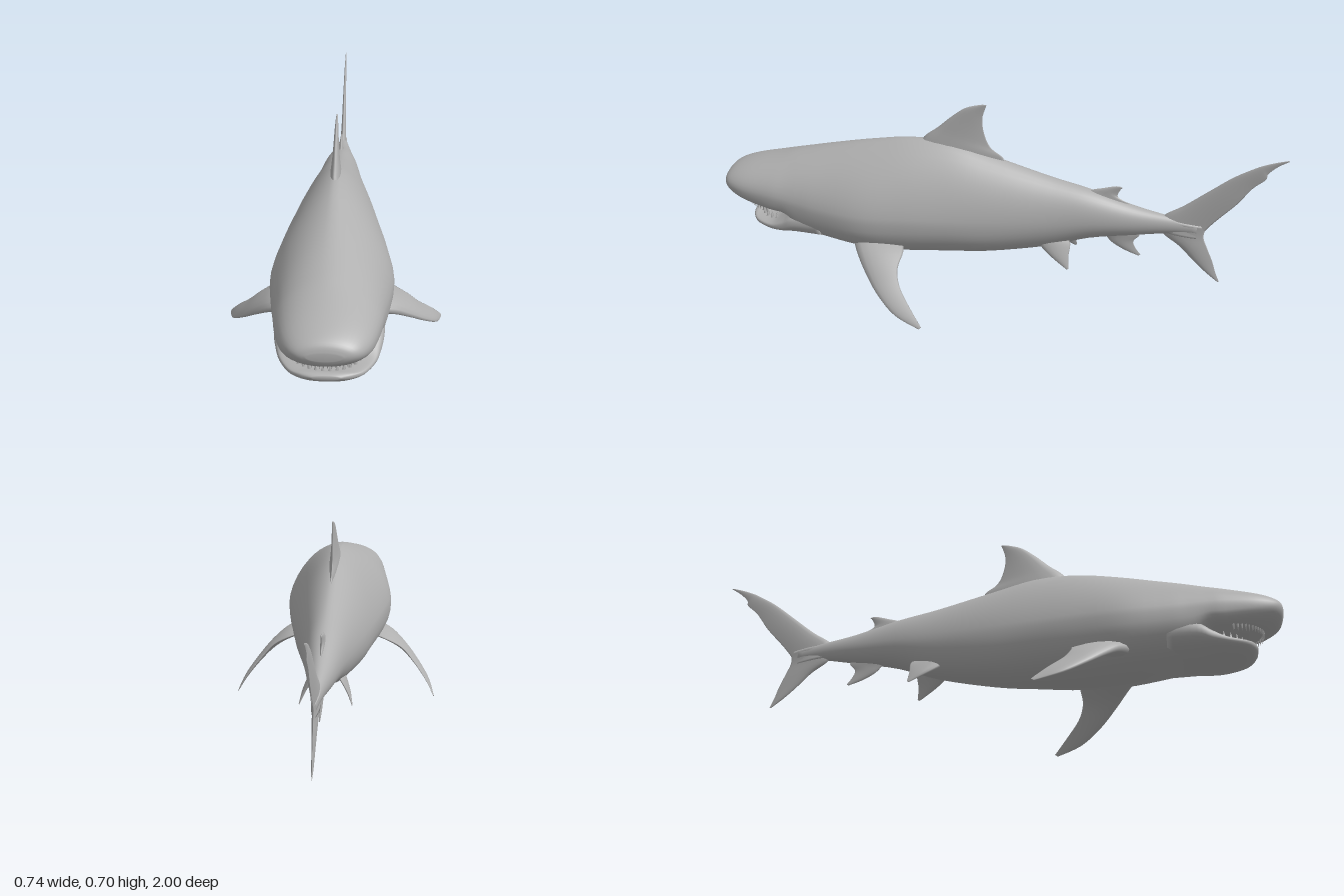
import * as THREE from 'three';

const skin = new THREE.MeshStandardMaterial({ color: 0xb0b0b0 });
skin.name = 'grey skin';

// Closed skin over a list of equal-length rings, oriented outward by its signed volume
function loft(rings) {
  const n = rings[0].length, pts = rings.flat(), idx = [];
  for (let i = 0; i < rings.length - 1; i++) {
    for (let j = 0; j < n; j++) {
      const a = i * n + j, b = i * n + (j + 1) % n;
      idx.push(a, b, a + n, b, b + n, a + n);
    }
  }
  [0, rings.length - 1].forEach((r, end) => {
    const centre = new THREE.Vector3();
    rings[r].forEach(p => centre.addScaledVector(p, 1 / n));
    const c = pts.push(centre) - 1;
    for (let j = 0; j < n; j++) {
      const a = r * n + j, b = r * n + (j + 1) % n;
      if (end) idx.push(a, b, c); else idx.push(b, a, c);
    }
  });
  let volume = 0;
  const cross = new THREE.Vector3();
  for (let i = 0; i < idx.length; i += 3) {
    volume += pts[idx[i]].dot(cross.crossVectors(pts[idx[i + 1]], pts[idx[i + 2]]));
  }
  if (volume < 0) idx.reverse();
  const geo = new THREE.BufferGeometry().setFromPoints(pts);
  geo.setIndex(idx);
  geo.computeVertexNormals();
  return geo;
}

// Catmull-Rom blend of the rows of a table, four steps per row
function sampleRows(rows) {
  const out = [], last = rows.length - 1;
  for (let i = 0; i < last; i++) {
    const [a, b, c, d] = [Math.max(i - 1, 0), i, i + 1, Math.min(i + 2, last)].map(k => rows[k]);
    for (let t = 0; t < 1; t += 0.25) {
      out.push(b.map((v, k) => {
        const linear = c[k] - a[k];
        const square = 2 * a[k] - 5 * v + 4 * c[k] - d[k];
        const cube = 3 * (v - c[k]) + d[k] - a[k];
        return v + 0.5 * t * (linear + t * (square + t * cube));
      }));
    }
  }
  out.push(rows[last]);
  return out;
}

// Body rows: z, top, bottom, half width, widest y, upper and lower roundness
function hull(rows) {
  const sides = 40;
  return loft(sampleRows(rows).map(([z, top, bottom, w, mid, eTop, eBot]) => {
    const ring = [];
    for (let j = 0; j < sides; j++) {
      const a = j / sides * Math.PI * 2, c = Math.cos(a), s = Math.sin(a);
      const e = s >= 0 ? eTop : eBot, h = s >= 0 ? top - mid : bottom - mid;
      ring.push(new THREE.Vector3(
        w * Math.sign(c) * Math.pow(Math.abs(c), e), mid + h * Math.pow(Math.abs(s), e), z));
    }
    return ring;
  }));
}

// Fin rows: leading x,y,z, trailing x,y,z, thickness; "across" is the thickness direction
function fin(rows, across, side = 1) {
  const half = 8, dir = new THREE.Vector3(...across).normalize();
  return loft(sampleRows(rows).map(r => {
    const lead = new THREE.Vector3(r[0], r[1], r[2]);
    const trail = new THREE.Vector3(r[3], r[4], r[5]);
    const ring = [];
    for (let j = 0; j < half * 2; j++) {
      const u = (1 - Math.cos(j / half * Math.PI)) / 2;
      const t = r[6] * 1.3 * Math.sqrt(u) * (1 - u) * (j < half ? 1 : -1);
      const p = lead.clone().lerp(trail, u).addScaledVector(dir, t);
      p.x *= side;
      ring.push(p);
    }
    return ring;
  }));
}

// Upright fin on the centre line, rows: leading y,z, trailing y,z, thickness
const uprightFin = rows => fin(rows.map(([ly, lz, ty, tz, t]) => [0, ly, lz, 0, ty, tz, t]), [1, 0, 0]);

export function createModel() {
  const group = new THREE.Group();
  const add = (name, geometry, parent = group) => {
    const mesh = new THREE.Mesh(geometry, skin);
    mesh.name = name;
    parent.add(mesh);
    return mesh;
  };

  // Head and trunk, snout to tail root
  add('body', hull([
    [1.0, 0.35, 0.325, 0.05, 0.338, 1, 1],
    [0.99, 0.373, 0.305, 0.085, 0.34, 1, 1],
    [0.96, 0.392, 0.287, 0.115, 0.335, 1, 0.9],
    [0.90, 0.412, 0.270, 0.14, 0.33, 1, 0.75],
    [0.80, 0.438, 0.257, 0.16, 0.325, 1.05, 0.6],
    [0.74, 0.455, 0.245, 0.168, 0.32, 1.1, 0.65],
    [0.68, 0.47, 0.18, 0.176, 0.31, 1.1, 0.75],
    [0.60, 0.49, 0.16, 0.187, 0.30, 1.15, 0.8],
    [0.45, 0.525, 0.14, 0.2, 0.29, 1.25, 0.8],
    [0.30, 0.55, 0.132, 0.183, 0.29, 1.3, 0.85],
    [0.15, 0.545, 0.138, 0.158, 0.29, 1.3, 0.9],
    [0, 0.505, 0.15, 0.131, 0.29, 1.2, 0.9],
    [-0.2, 0.45, 0.185, 0.092, 0.30, 1.1, 1],
    [-0.35, 0.415, 0.235, 0.067, 0.315, 1, 1],
    [-0.5, 0.372, 0.262, 0.042, 0.316, 1, 1],
    [-0.62, 0.348, 0.282, 0.022, 0.316, 1, 1],
    [-0.72, 0.33, 0.29, 0.008, 0.31, 1, 1],
  ]));

  // Lower jaw, set back under the snout
  add('lowerJaw', hull([
    [0.60, 0.30, 0.168, 0.172, 0.24, 0.7, 0.85],
    [0.70, 0.285, 0.17, 0.169, 0.235, 0.7, 0.9],
    [0.75, 0.25, 0.173, 0.160, 0.215, 0.6, 0.9],
    [0.80, 0.222, 0.176, 0.146, 0.205, 0.6, 0.9],
    [0.86, 0.217, 0.181, 0.115, 0.204, 0.6, 0.9],
    [0.89, 0.220, 0.188, 0.08, 0.207, 0.7, 0.9],
    [0.905, 0.215, 0.202, 0.04, 0.209, 1, 1],
  ]));

  // Teeth in two arcs
  const teeth = (name, count, width, depth, z0, y0, rise, radius, down) => {
    const row = new THREE.Group();
    row.name = name;
    group.add(row);
    const cone = new THREE.ConeGeometry(radius, 0.032, 4);
    if (down) cone.rotateX(Math.PI);
    for (let i = 0; i < count; i++) {
      const a = (i / (count - 1) * 2 - 1) * 1.25;
      const tooth = add('tooth', cone, row);
      tooth.position.set(width * Math.sin(a), y0 + rise * Math.sin(a) ** 2, z0 + depth * Math.cos(a));
      tooth.rotation.y = a;
    }
  };
  teeth('upperTeeth', 26, 0.12, 0.155, 0.775, 0.271, -0.012, 0.006, true);
  teeth('lowerTeeth', 14, 0.11, 0.13, 0.75, 0.224, 0.012, 0.008, false);

  // Fins on the centre line
  add('dorsalFin', uprightFin([
    [0.50, 0.29, 0.47, -0.03, 0.05],
    [0.56, 0.25, 0.505, -0.035, 0.036],
    [0.60, 0.20, 0.54, 0.01, 0.026],
    [0.645, 0.15, 0.59, 0.033, 0.018],
    [0.682, 0.10, 0.645, 0.04, 0.012],
    [0.698, 0.05, 0.69, 0.028, 0.006],
    [0.70, 0.03, 0.698, 0.024, 0.003],
  ]));
  add('secondDorsalFin', uprightFin([
    [0.38, -0.32, 0.355, -0.47, 0.03],
    [0.415, -0.345, 0.376, -0.485, 0.016],
    [0.43, -0.39, 0.40, -0.443, 0.012],
    [0.441, -0.43, 0.425, -0.447, 0.007],
    [0.442, -0.445, 0.438, -0.457, 0.003],
  ]));
  add('analFin', uprightFin([
    [0.285, -0.38, 0.29, -0.50, 0.03],
    [0.248, -0.405, 0.262, -0.525, 0.016],
    [0.22, -0.43, 0.235, -0.505, 0.012],
    [0.195, -0.475, 0.21, -0.512, 0.008],
    [0.178, -0.525, 0.182, -0.533, 0.003],
  ]));
  add('upperTailLobe', uprightFin([
    [0.29, -0.60, 0.27, -0.74, 0.03],
    [0.345, -0.60, 0.30, -0.745, 0.024],
    [0.395, -0.67, 0.35, -0.783, 0.018],
    [0.46, -0.75, 0.42, -0.845, 0.014],
    [0.52, -0.825, 0.485, -0.89, 0.01],
    [0.56, -0.89, 0.523, -0.93, 0.008],
    [0.575, -0.92, 0.545, -0.935, 0.006],
    [0.59, -0.96, 0.575, -0.965, 0.004],
    [0.60, -0.995, 0.598, -1.0, 0.002],
  ]));
  add('lowerTailLobe', uprightFin([
    [0.34, -0.61, 0.32, -0.75, 0.03],
    [0.285, -0.60, 0.28, -0.745, 0.024],
    [0.235, -0.665, 0.24, -0.76, 0.018],
    [0.18, -0.72, 0.19, -0.782, 0.012],
    [0.14, -0.765, 0.145, -0.797, 0.008],
    [0.108, -0.807, 0.11, -0.812, 0.002],
  ]));

  // Paired fins
  for (const [prefix, side] of [['left', 1], ['right', -1]]) {
    add(prefix + 'PectoralFin', fin([
      [0.13, 0.19, 0.49, 0.12, 0.205, 0.31, 0.06],
      [0.20, 0.168, 0.45, 0.18, 0.19, 0.285, 0.045],
      [0.255, 0.13, 0.405, 0.245, 0.155, 0.288, 0.03],
      [0.31, 0.08, 0.345, 0.29, 0.11, 0.268, 0.02],
      [0.353, 0.032, 0.27, 0.335, 0.06, 0.22, 0.013],
      [0.372, 0.001, 0.18, 0.37, 0.008, 0.17, 0.003],
    ], [0.6, 0.8, 0], side));
    add(prefix + 'PelvicFin', fin([
      [0.035, 0.235, -0.15, 0.035, 0.25, -0.27, 0.035],
      [0.06, 0.20, -0.19, 0.055, 0.225, -0.29, 0.022],
      [0.078, 0.17, -0.235, 0.075, 0.185, -0.288, 0.013],
      [0.09, 0.14, -0.285, 0.09, 0.143, -0.293, 0.003],
    ], [0.85, 0.5, 0], side));
  }
  return group;
}
